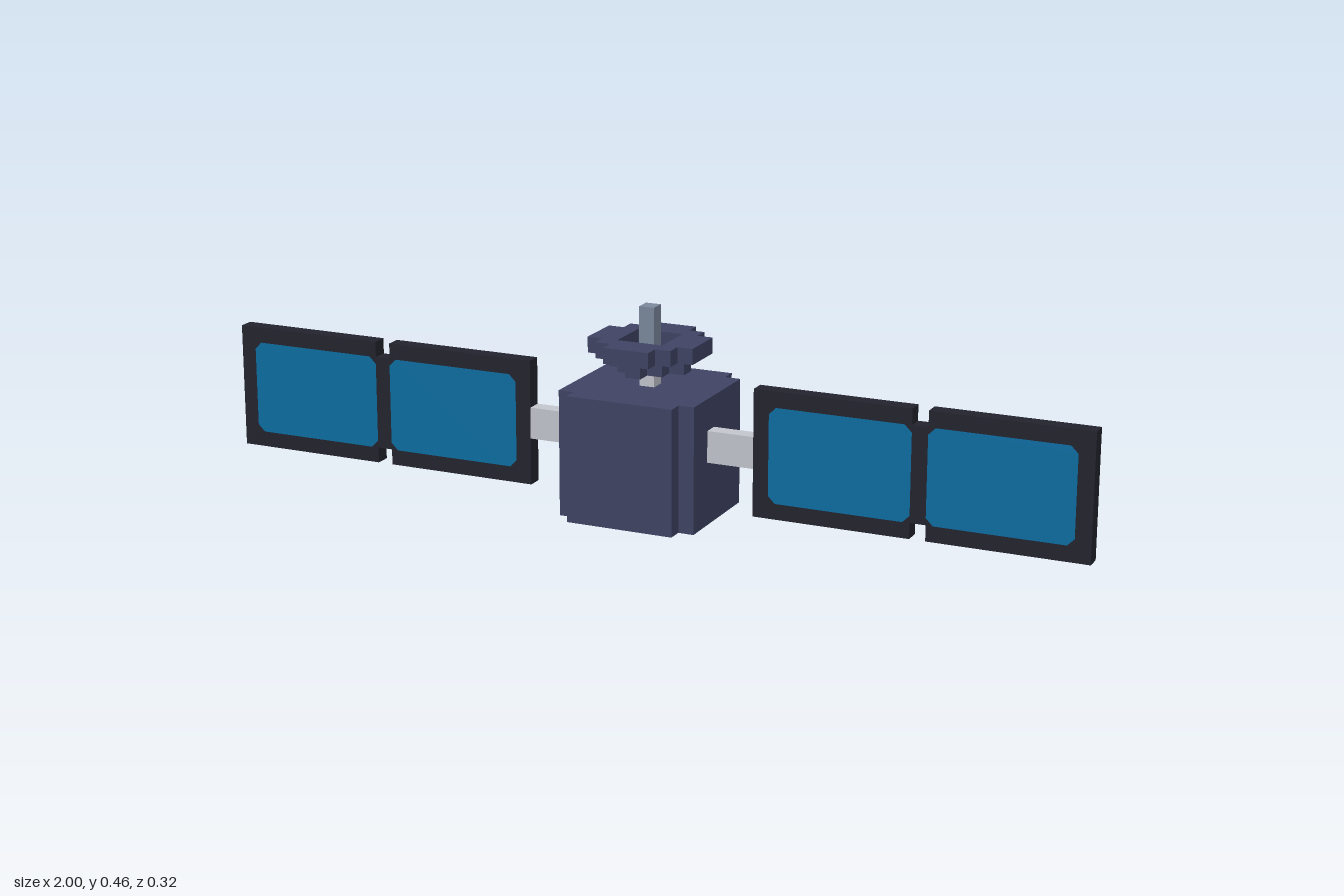
import * as THREE from 'three';

const U = 2 / 57; // one block

const material = (name, color) => {
  const m = new THREE.MeshStandardMaterial({ color });
  m.name = name;
  return m;
};

export function createModel() {
  const navy = material('navy hull', 0x3f4363);
  const black = material('panel frame black', 0x22232d);
  const blue = material('solar blue', 0x0c6da3);
  const grey = material('light grey', 0xc2c5cd);
  const slate = material('slate', 0x7b899c);

  const model = new THREE.Group();
  model.name = 'satellite';

  const add = (parent, name, geometry, mat) => {
    const mesh = new THREE.Mesh(geometry, mat);
    mesh.name = name;
    parent.add(mesh);
    return mesh;
  };

  // Box given by its limits, in blocks
  const box = (parent, name, mat, [x0, x1], [y0, y1], [z0, z1]) => {
    const mesh = add(parent, name, new THREE.BoxGeometry((x1 - x0) * U, (y1 - y0) * U, (z1 - z0) * U), mat);
    mesh.position.set((x0 + x1) / 2 * U, (y0 + y1) / 2 * U, (z0 + z1) / 2 * U);
  };

  // Upright slab with a stepped outline; steps are the first-quadrant corners
  const steppedSlab = (name, steps, y0, y1, hole = 0) => {
    const back = steps.slice().reverse();
    const outline = [
      ...steps,
      ...back.map(([x, y]) => [-x, y]),
      ...steps.map(([x, y]) => [-x, -y]),
      ...back.map(([x, y]) => [x, -y]),
    ].map(([x, y]) => new THREE.Vector2(x * U, y * U));
    const shape = new THREE.Shape(outline);
    if (hole) {
      const h = hole * U;
      shape.holes.push(new THREE.Path([[-h, -h], [-h, h], [h, h], [h, -h]].map(p => new THREE.Vector2(...p))));
    }
    const geometry = new THREE.ExtrudeGeometry(shape, { depth: (y1 - y0) * U, bevelEnabled: false });
    geometry.rotateX(-Math.PI / 2).translate(0, y0 * U, 0);
    add(model, name, geometry, navy);
  };

  // Hull with notched corners
  steppedSlab('hull', [[4.5, 3.5], [3.5, 3.5], [3.5, 4.5]], 0, 8);

  // Dish on its mast
  box(model, 'mast', grey, [-0.5, 0.5], [8, 9], [-0.5, 0.5]);
  steppedSlab('dishBase', [[2.5, 0.5], [1.5, 0.5], [1.5, 1.5], [0.5, 1.5], [0.5, 2.5]], 9, 10);
  steppedSlab('dishRim', [[3.5, 1.5], [2.5, 1.5], [2.5, 2.5], [1.5, 2.5], [1.5, 3.5]], 10, 11, 1.5);
  box(model, 'antenna', slate, [-0.5, 0.5], [10, 13], [-0.5, 0.5]);

  // Solar cell sheet with clipped corners, 9 by 6 blocks
  const w = 4.5 * U, h = 3 * U, c = 0.45 * U;
  const cell = new THREE.ShapeGeometry(new THREE.Shape([
    [w, h - c], [w - c, h], [c - w, h], [-w, h - c], [-w, c - h], [c - w, -h], [w - c, -h], [w, c - h],
  ].map(p => new THREE.Vector2(...p))));

  // Wings: arm, two framed panels and the link between them
  for (const side of [1, -1]) {
    const wing = new THREE.Group();
    wing.name = side > 0 ? 'leftWing' : 'rightWing';
    model.add(wing);
    const span = (a, b) => (side > 0 ? [a, b] : [-b, -a]);
    const depth = [0.5, 1.5];
    box(wing, 'arm', grey, span(4.5, 7.5), [4, 6], depth);
    box(wing, 'panelLink', black, span(17.5, 18.5), [2, 8], depth);
    // Cells reach the link side of each panel
    for (const [start, cellCentre] of [[7.5, 13], [18.5, 23]]) {
      box(wing, 'panelFrame', black, span(start, start + 10), [1, 9], depth);
      for (const face of [1, -1]) {
        const sheet = add(wing, face > 0 ? 'frontCell' : 'backCell', cell, blue);
        sheet.position.set(side * cellCentre * U, 5 * U, (1 + face * 0.53) * U);
        if (face < 0) sheet.rotation.y = Math.PI;
      }
    }
  }
  return model;
}
